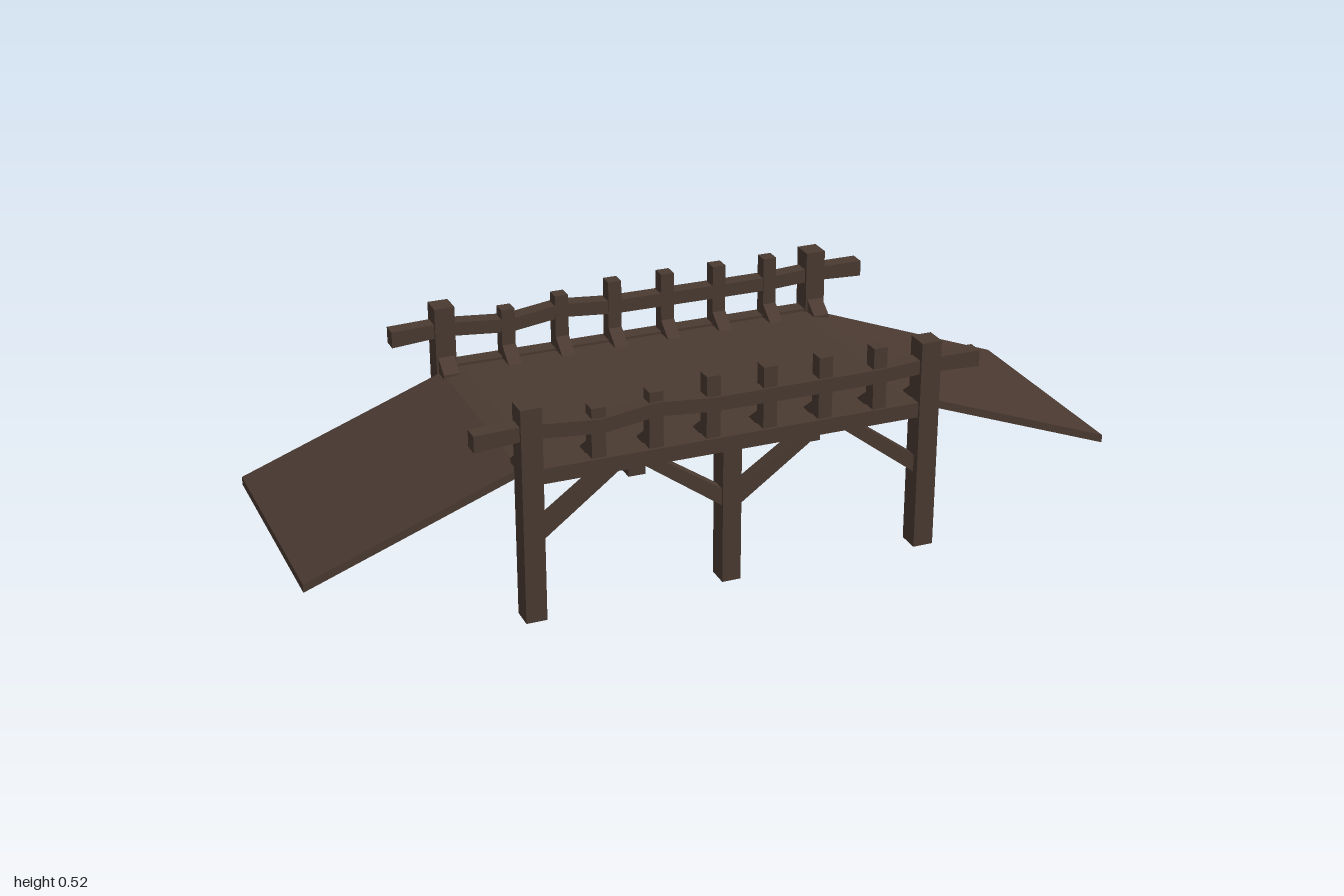
import * as THREE from 'three';

export function createModel() {
  const bridge = new THREE.Group();
  bridge.name = 'woodenBridge';
  const wood = new THREE.MeshStandardMaterial({ color: 0x4a3a31 });
  wood.name = 'dark brown wood';

  const add = (name, geometry, parent) => {
    const mesh = new THREE.Mesh(geometry, wood);
    mesh.name = name;
    parent.add(mesh);
    return mesh;
  };
  const extrude = (points, depth) => new THREE.ExtrudeGeometry(
    new THREE.Shape(points.map(([x, y]) => new THREE.Vector2(x, y))),
    { depth, bevelEnabled: false }
  ).translate(0, 0, -depth / 2);
  // Box given by its limits in x and y and its centre and depth in z
  const block = (name, x, width, y0, y1, z, depth, parent) =>
    add(name, new THREE.BoxGeometry(width, y1 - y0, depth), parent).position.set(x, (y0 + y1) / 2, z);

  // Deck: flat middle and two sloping ramps, one thin folded slab
  const top = [[-1, 0.175], [-0.5, 0.362], [-0.45, 0.37], [0.45, 0.37], [0.5, 0.362], [1, 0.175]];
  const under = top.map(([x, y]) => [x, y - 0.02]).reverse();
  add('deck', extrude([...top, ...under], 0.572), bridge);

  // Handrail centre line, slightly uneven
  const rail = [[-0.617, 0.46], [-0.487, 0.467], [-0.32, 0.452], [-0.19, 0.47],
    [-0.052, 0.458], [0.225, 0.457], [0.363, 0.457], [0.487, 0.464], [0.617, 0.461]];
  const railHalf = (i) => (i === 0 || i === rail.length - 1 ? 0.02 : 0.017);
  const railOutline = [
    ...rail.map(([x, y], i) => [x, y + railHalf(i)]),
    ...rail.map(([x, y], i) => [x, y - railHalf(i)]).reverse(),
  ];
  const balusters = [[-0.327, 0.495], [-0.19, 0.51], [-0.052, 0.525],
    [0.087, 0.525], [0.225, 0.525], [0.363, 0.525]];

  for (const side of [1, -1]) {
    const frame = new THREE.Group();
    frame.name = side > 0 ? 'frontFrame' : 'backFrame';
    bridge.add(frame);
    const z = side * 0.312;

    // Supports and edge beam
    for (const x of [-0.487, 0.487]) block('endPost', x, 0.05, 0, 0.525, z, 0.055, frame);
    block('middlePost', -0.005, 0.046, 0, 0.34, side * 0.299, 0.055, frame);
    block('edgeBeam', 0, 0.93, 0.337, 0.374, z, 0.042, frame);

    // Handrail and balusters
    add('handrail', extrude(railOutline, 0.04), frame).position.z = z;
    for (const [x, y] of balusters) block('baluster', x, 0.034, 0.36, y, side * 0.308, 0.036, frame);

    // Diagonal braces under the beam
    for (const [x0, x1] of [[-0.468, -0.295], [-0.015, -0.2], [0.01, 0.195], [0.468, 0.295]]) {
      const shift = Math.sign(x1 - x0) * 0.05;
      add('diagonalBrace', extrude(
        [[x0, 0.187], [x1 + shift / 2, 0.338], [x1 - shift / 2, 0.338], [x0, 0.23]], 0.036
      ), frame).position.z = side * 0.303;
    }

    // Wedge feet on the inner side of posts and balusters
    const feet = [...balusters.map(([x]) => [x, 0.034]), [-0.487, 0.04], [0.487, 0.04]];
    for (const [x, width] of feet) {
      const wedge = extrude(
        [[side * 0.295, 0.408], [side * 0.245, 0.37], [side * 0.245, 0.36], [side * 0.295, 0.36]], width
      ).rotateY(-Math.PI / 2);
      add('wedgeFoot', wedge, frame).position.x = x;
    }
  }
  return bridge;
}
